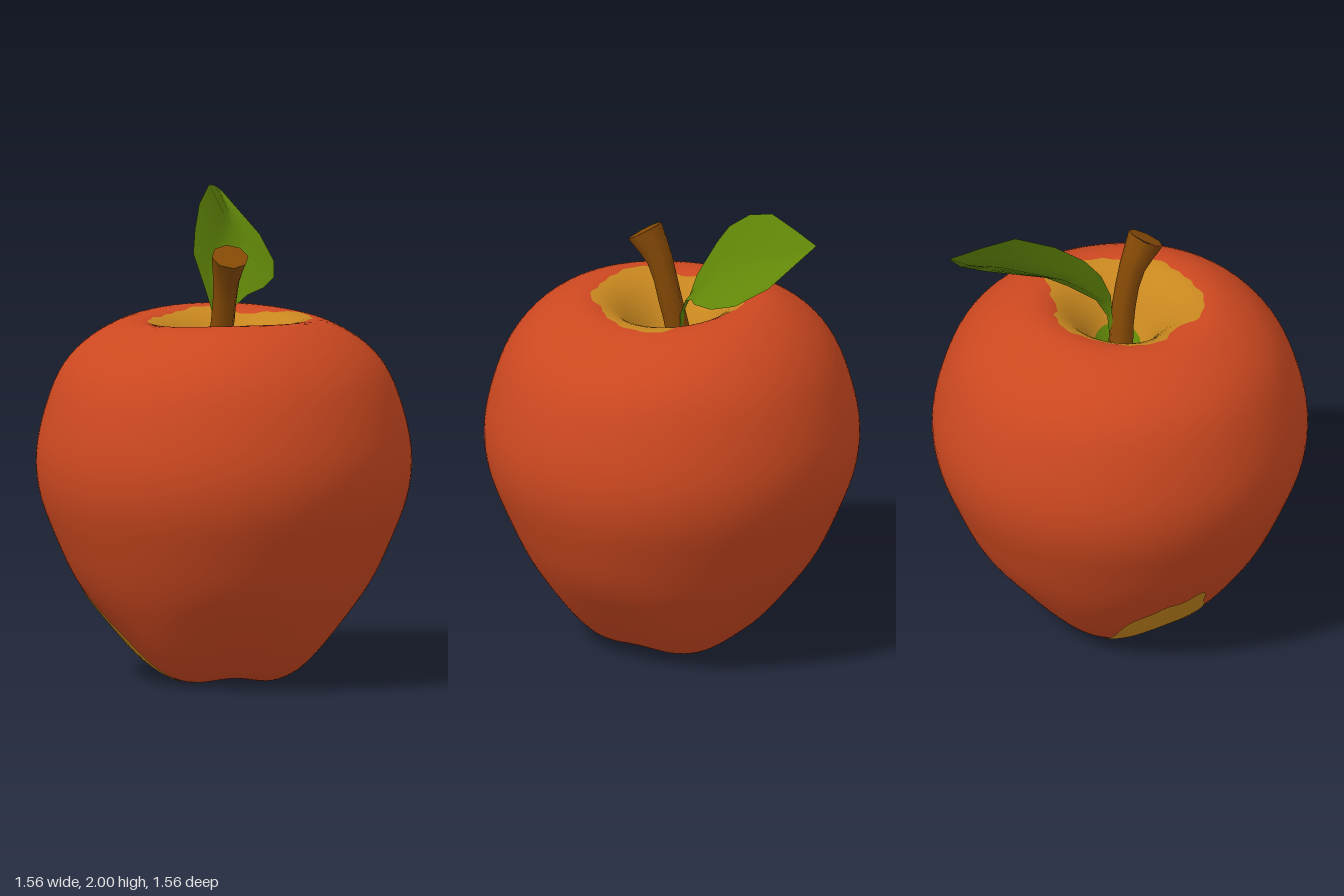
import * as THREE from 'three';

const { cos, sin, PI } = Math;
const smooth = THREE.MathUtils.smoothstep;
const mat = (name, color, side = THREE.FrontSide) => {
  const m = new THREE.MeshStandardMaterial({ color, side });
  m.name = name;
  return m;
};

// Indexed surface from point(column, row); wrap closes the columns into a ring
function grid(cols, rows, wrap, point) {
  const pos = [], index = [];
  const n = wrap ? cols : cols + 1;
  for (let j = 0; j <= rows; j++)
    for (let i = 0; i < n; i++) pos.push(...point(i, j).toArray());
  for (let j = 0; j < rows; j++)
    for (let i = 0; i < cols; i++) {
      const a = j * n + i, b = j * n + (i + 1) % n;
      index.push(a, b, a + n, b, b + n, a + n);
    }
  const g = new THREE.BufferGeometry();
  g.setAttribute('position', new THREE.Float32BufferAttribute(pos, 3));
  g.setIndex(index);
  g.computeVertexNormals();
  return g;
}

function named(name, geometry, material) {
  const m = new THREE.Mesh(geometry, material);
  m.name = name;
  return m;
}

// Fruit profile (radius, height) from the stem hollow round to the base dimple
const profile = new THREE.SplineCurve([
  [0, 1.2], [0.06, 1.225], [0.11, 1.3], [0.17, 1.4], [0.25, 1.48], [0.34, 1.513],
  [0.45, 1.495], [0.58, 1.415], [0.68, 1.295], [0.745, 1.13], [0.78, 0.95], [0.765, 0.78],
  [0.7, 0.6], [0.605, 0.4], [0.48, 0.22], [0.38, 0.1], [0.3, 0.035], [0.21, 0.008],
  [0.1, 0.03], [0, 0.05],
].map(p => new THREE.Vector2(...p)));

// Profile parameter at a given radius, on the top hollow or the underside
function paramAt(r, underside) {
  let lo = underside ? 1 : 0, hi = underside ? 0.53 : 0.3;
  for (let k = 0; k < 24; k++) {
    const mid = (lo + hi) / 2;
    if (profile.getPoint(mid).x < r) lo = mid; else hi = mid;
  }
  return lo;
}

// Point on the fruit: slight saddle at the rim, four soft lobes at the base
function fruitPoint(a, s) {
  const p = profile.getPoint(s);
  const low = 1 - smooth(p.y, 0.05, 0.5);
  const r = p.x * (1 - 0.025 * low * cos(4 * a));
  const y = p.y - 0.011 * cos(2 * a) * smooth(p.y, 1.3, 1.5)
    + low * 0.01 * (1 + cos(4 * a)) * smooth(p.x, 0, 0.2);
  return new THREE.Vector3(r * cos(a), y, r * sin(a));
}

// Wavy outline of the yellow hollow, one radius every 20 degrees
const hollowRadii = [0.37, 0.34, 0.31, 0.34, 0.32, 0.325, 0.35, 0.35, 0.28,
  0.32, 0.31, 0.29, 0.29, 0.31, 0.29, 0.26, 0.3, 0.38];
function hollowRadius(a) {
  const t = a / (2 * PI) * 18, i = Math.floor(t), f = smooth(t - i, 0, 1);
  return THREE.MathUtils.lerp(hollowRadii[i % 18], hollowRadii[(i + 1) % 18], f) + 0.004 * sin(23 * a);
}

export function createModel() {
  const red = mat('red skin', 0xcc4820);
  const yellow = mat('yellow skin', 0xc8871f);
  const brown = mat('brown stem', 0x854905);
  const green = mat('green leaf', 0x618708, THREE.DoubleSide);
  const model = new THREE.Group();
  model.name = 'apple';

  // Fruit: green core, yellow hollow and red skin as bands of one smooth surface
  const cols = 108, bands = [4, 10, 60];
  const ends = Array.from({ length: cols }, (_, i) => {
    const a = i / cols * 2 * PI;
    return [0, paramAt(0.09 + 0.035 * cos(a - 0.3), false), paramAt(hollowRadius(a), false), 1];
  });
  const fruit = grid(cols, 74, true, (i, j) => {
    let b = 0, k = j;
    while (b < 2 && k > bands[b]) k -= bands[b++];
    return fruitPoint(i / cols * 2 * PI, THREE.MathUtils.lerp(ends[i][b], ends[i][b + 1], k / bands[b]));
  });
  let start = 0;
  bands.forEach((rows, b) => {
    fruit.addGroup(start, rows * cols * 6, b);
    start += rows * cols * 6;
  });
  model.add(named('fruit', fruit, [green, yellow, red]));

  // Yellow blush under one side, lying just over the skin and facing down
  const blush = grid(64, 24, true, (i, j) => {
    const a = -i / 64 * 2 * PI, q = j / 24 * (1 + 0.05 * sin(5 * a) + 0.03 * sin(9 * a + 1));
    const x = -0.265 + 0.32 * q * cos(a), z = -0.04 + 0.21 * q * sin(a);
    const p = fruitPoint(Math.atan2(z, x), paramAt(Math.hypot(x, z), true));
    p.y -= 0.75;
    p.multiplyScalar(1.007);
    p.y += 0.75;
    return p;
  });
  model.add(named('blush', blush, yellow));

  // Stem: tapering, leaning forward, with a flat cut end
  const path = new THREE.CatmullRomCurve3([
    [0.002, 1.785, 0.13], [-0.002, 1.67, 0.06], [-0.008, 1.5, 0.014], [-0.03, 1.34, -0.015], [-0.045, 1.18, -0.025],
  ].map(p => new THREE.Vector3(...p)));
  const radii = [0.078, 0.066, 0.055, 0.05, 0.05, 0.05, 0.052, 0.056, 0.062];
  const xAxis = new THREE.Vector3(1, 0, 0);
  const stem = new THREE.Group();
  stem.name = 'stem';
  stem.add(named('stemShaft', grid(8, 8, true, (i, j) => {
    const a = i / 8 * 2 * PI, t = j / 8;
    const side = xAxis.clone().cross(path.getTangent(t).negate()).normalize();
    return path.getPoint(t).addScaledVector(xAxis, radii[j] * cos(a)).addScaledVector(side, radii[j] * sin(a));
  }), brown));
  const cut = named('stemCut', new THREE.CircleGeometry(radii[0], 8), brown);
  cut.position.copy(path.getPoint(0));
  cut.lookAt(path.getPoint(0).sub(path.getTangent(0)));
  stem.add(cut);
  model.add(stem);

  // Leaf: cross-sections from upper edge to lower edge, dished along the midrib
  const sections = [
    [-0.03, 1.25, -0.04, 0.0, 1.25, -0.04],
    [-0.02, 1.46, -0.05, 0.02, 1.45, -0.05],
    [-0.06, 1.61, -0.085, 0.045, 1.53, -0.09],
    [-0.1, 1.76, -0.16, 0.13, 1.58, -0.17],
    [-0.08, 1.85, -0.23, 0.21, 1.6, -0.23],
    [-0.04, 1.94, -0.35, 0.275, 1.625, -0.35],
    [0.03, 2.0, -0.5, 0.3, 1.675, -0.48],
    [0.08, 1.975, -0.64, 0.265, 1.77, -0.62],
    [0.122, 1.945, -0.765, 0.128, 1.94, -0.765],
  ];
  const dish = new THREE.Vector3(0.6, 0.54, 0.42).normalize();
  model.add(named('leaf', grid(6, 8, false, (i, j) => {
    const s = sections[j], u = i / 6;
    const l = new THREE.Vector3(s[0], s[1], s[2]), r = new THREE.Vector3(s[3], s[4], s[5]);
    const depth = 0.13 * l.distanceTo(r) * (1 - Math.abs(2 * u - 1));
    return l.lerp(r, u).addScaledVector(dish, -depth);
  }), green));

  return model;
}
